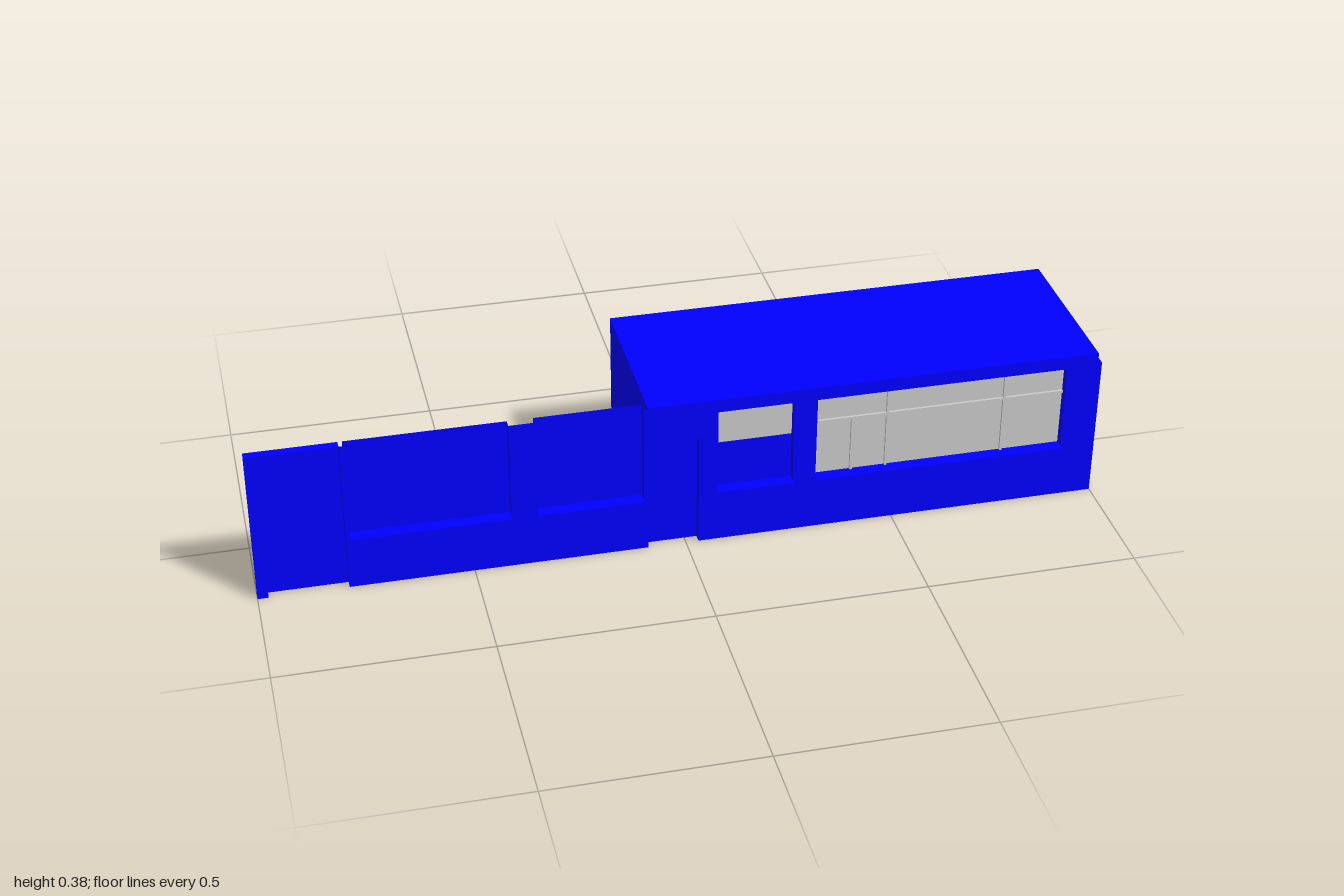
import * as THREE from 'three';

const FRONT = 0.205, INNER = 0.185, TOP = 0.383;

export function createModel() {
  const model = new THREE.Group();
  const blue = new THREE.MeshStandardMaterial({ color: 0x0000ff, side: THREE.DoubleSide, flatShading: true });
  const grey = new THREE.MeshStandardMaterial({ color: 0xcccccc, side: THREE.DoubleSide, flatShading: true });

  const add = (name, geo, mat = blue, parent = model) => {
    const mesh = new THREE.Mesh(geo, mat);
    mesh.name = name;
    parent.add(mesh);
    return mesh;
  };
  // Thin sheets, each square to one axis
  const sheetZ = (name, x0, x1, y0, y1, z, mat, parent) =>
    add(name, new THREE.PlaneGeometry(x1 - x0, y1 - y0).translate((x0 + x1) / 2, (y0 + y1) / 2, z), mat, parent);
  const sheetX = (name, x, y0, y1, z0, z1, mat, parent) =>
    add(name, new THREE.PlaneGeometry(z1 - z0, y1 - y0).rotateY(Math.PI / 2)
      .translate(x, (y0 + y1) / 2, (z0 + z1) / 2), mat, parent);
  const sheetY = (name, x0, x1, y, z0, z1, mat, parent) =>
    add(name, new THREE.PlaneGeometry(x1 - x0, z1 - z0).rotateX(-Math.PI / 2)
      .translate((x0 + x1) / 2, y, (z0 + z1) / 2), mat, parent);
  const box = (name, x0, x1, y0, y1, z0, z1, mat, parent) =>
    add(name, new THREE.BoxGeometry(x1 - x0, y1 - y0, z1 - z0)
      .translate((x0 + x1) / 2, (y0 + y1) / 2, (z0 + z1) / 2), mat, parent);
  const group = (name) => {
    const g = new THREE.Group();
    g.name = name;
    model.add(g);
    return g;
  };

  // Front wall, notched for the open bays and the door, with two window holes
  const outline = [
    [-0.79, 0], [-0.79, TOP], [-0.78, TOP], [-0.78, 0.135], [-0.41, 0.135], [-0.41, TOP],
    [-0.35, TOP], [-0.35, 0.135], [-0.1, 0.135], [-0.1, TOP], [0.99, TOP], [0.99, 0.357], [1, 0.357], [1, 0],
    [0.03, 0], [0.03, 0.285], [-0.09, 0.285], [-0.09, 0],
  ];
  const wall = new THREE.Shape(outline.map(([x, y]) => new THREE.Vector2(x, y)));
  for (const [x0, x1] of [[0.075, 0.255], [0.31, 0.915]]) {
    wall.holes.push(new THREE.Path([[x0, 0.135], [x1, 0.135], [x1, 0.35], [x0, 0.35]]
      .map(([x, y]) => new THREE.Vector2(x, y))));
  }
  add('frontWall', new THREE.ShapeGeometry(wall).translate(0, 0, FRONT));

  // Reveals and projecting sill around an opening
  function surround(g, x0, x1, y1, sill, head) {
    const y0 = sill ? 0.135 : 0;
    for (const x of [x0, x1]) sheetX('reveal', x, y0, y1, INNER, FRONT, blue, g);
    if (head) sheetY('lintel', x0, x1, y1, INNER, FRONT, blue, g);
    if (sill) box('sill', x0, x1, 0.132, 0.137, INNER, 0.217, blue, g);
  }

  // Two blind bays, open at the top
  for (const [x0, x1] of [[-0.78, -0.41], [-0.35, -0.1]]) {
    const bay = group('blindBay');
    surround(bay, x0, x1, TOP, true, false);
    sheetZ('bayPanel', x0, x1, 0.135, TOP, INNER, blue, bay);
  }

  // Recessed end panel with its outer lip
  const end = group('endPanel');
  sheetZ('panel', -1, -0.79, 0, TOP, INNER, blue, end);
  sheetZ('lip', -1, -0.975, 0, TOP, FRONT, blue, end);
  for (const x of [-1, -0.975, -0.79]) sheetX('return', x, 0, TOP, INNER, FRONT, blue, end);
  sheetY('cap', -1, -0.79, TOP, INNER, FRONT, blue, end);

  // Recessed door
  const door = group('door');
  surround(door, -0.09, 0.03, 0.285, false, true);
  sheetZ('doorLeaf', -0.09, 0.03, 0, 0.285, INNER, blue, door);

  // Small window over a solid lower panel
  const small = group('smallWindow');
  surround(small, 0.075, 0.255, 0.35, true, true);
  sheetZ('lowerPanel', 0.075, 0.255, 0.135, 0.255, INNER, blue, small);
  sheetZ('glass', 0.075, 0.255, 0.255, 0.35, INNER, grey, small);

  // Large window with glazing bars
  const large = group('largeWindow');
  surround(large, 0.31, 0.915, 0.35, true, true);
  sheetZ('glass', 0.31, 0.915, 0.135, 0.35, INNER, grey, large);
  box('transom', 0.31, 0.915, 0.277, 0.283, INNER - 0.004, INNER + 0.006, grey, large);
  for (const [x, y1] of [[0.4, 0.28], [0.485, 0.35], [0.77, 0.35]]) {
    box('mullion', x - 0.003, x + 0.003, 0.137, y1, INNER - 0.004, INNER + 0.006, grey, large);
  }

  // Hollow room behind the wall, open underneath
  sheetY('roof', -0.09, 0.99, TOP, -0.21, FRONT);
  sheetZ('backWall', -0.09, 0.99, 0, TOP, -0.21);
  sheetX('rightWall', -0.09, 0, TOP, -0.21, FRONT);
  sheetX('leftUpperWall', 0.99, 0.357, TOP, -0.21, FRONT);
  box('leftWall', 0.99, 1, 0, 0.357, -0.215, FRONT - 0.001);

  // Low partition inside
  sheetX('partition', 0.645, 0, 0.18, 0.03, INNER);

  return model;
}
